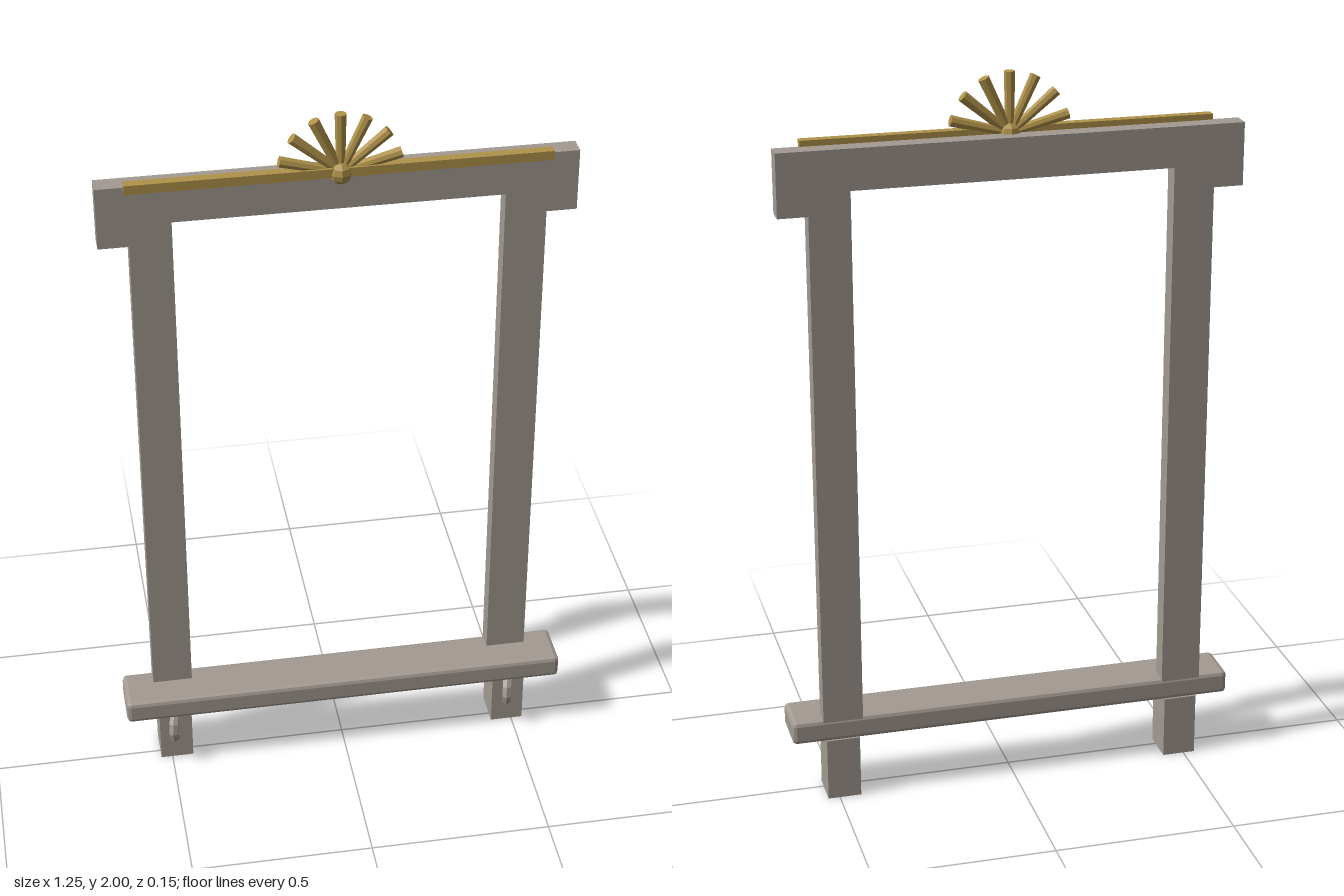
import * as THREE from 'three';
import { RoundedBoxGeometry } from 'three/addons/geometries/RoundedBoxGeometry.js';

export function createModel() {
  const group = new THREE.Group();
  const stone = new THREE.MeshStandardMaterial({ color: 0xa39a92, flatShading: true });
  stone.name = 'warm grey stone';
  const gold = new THREE.MeshStandardMaterial({ color: 0xb0924a, flatShading: true });
  gold.name = 'old gold';

  const add = (name, geometry, material, x, y, z, parent = group) => {
    const mesh = new THREE.Mesh(geometry, material);
    mesh.name = name;
    mesh.position.set(x, y, z);
    parent.add(mesh);
    return mesh;
  };

  // Jambs and overhanging lintel as one flat outline
  const half = [[0.43, 1.73], [0.43, 0.235], [0.54, 0.235], [0.54, 1.67], [0.62, 1.67], [0.62, 1.84]];
  const outline = [...half, ...half.map(([x, y]) => [-x, y]).reverse()];
  const frameShape = new THREE.Shape(outline.map(([x, y]) => new THREE.Vector2(x, y)));
  add('windowSurround', new THREE.ExtrudeGeometry(frameShape, { depth: 0.052, bevelEnabled: false }),
    stone, 0, 0, -0.072);

  // Chamfered sill
  add('sill', new RoundedBoxGeometry(1.25, 0.066, 0.14, 1, 0.012), stone, 0, 0.208, 0);

  // Brackets, each with a ring half sunk into its face
  for (const [side, s] of [['left', 1], ['right', -1]]) {
    add(side + 'Bracket', new THREE.BoxGeometry(0.092, 0.178, 0.102), stone, s * 0.486, 0.089, -0.021);
    const ring = add(side + 'BracketRing', new THREE.TorusGeometry(0.04, 0.014, 6, 10),
      stone, s * 0.486, 0.114, 0.022);
    ring.rotation.y = Math.PI / 2 - 0.25;
  }

  // Gilded bar along the lintel
  add('giltBar', new THREE.BoxGeometry(1.096, 0.025, 0.026), gold, 0, 1.843, -0.011);

  // Sunburst crest: seven rays around a hub
  const crest = new THREE.Group();
  crest.name = 'sunburstCrest';
  crest.position.set(0, 1.838, -0.015);
  group.add(crest);
  const rayGeometry = new THREE.CylinderGeometry(0.015, 0.012, 0.142, 8);
  rayGeometry.translate(0, 0.091, 0);
  for (let i = -3; i <= 3; i++) {
    add('ray', rayGeometry, gold, 0, 0, 0, crest).rotation.z = THREE.MathUtils.degToRad(i * 25);
  }
  add('hub', new THREE.SphereGeometry(0.031, 8, 6), gold, 0, 0, 0.002, crest);

  return group;
}
